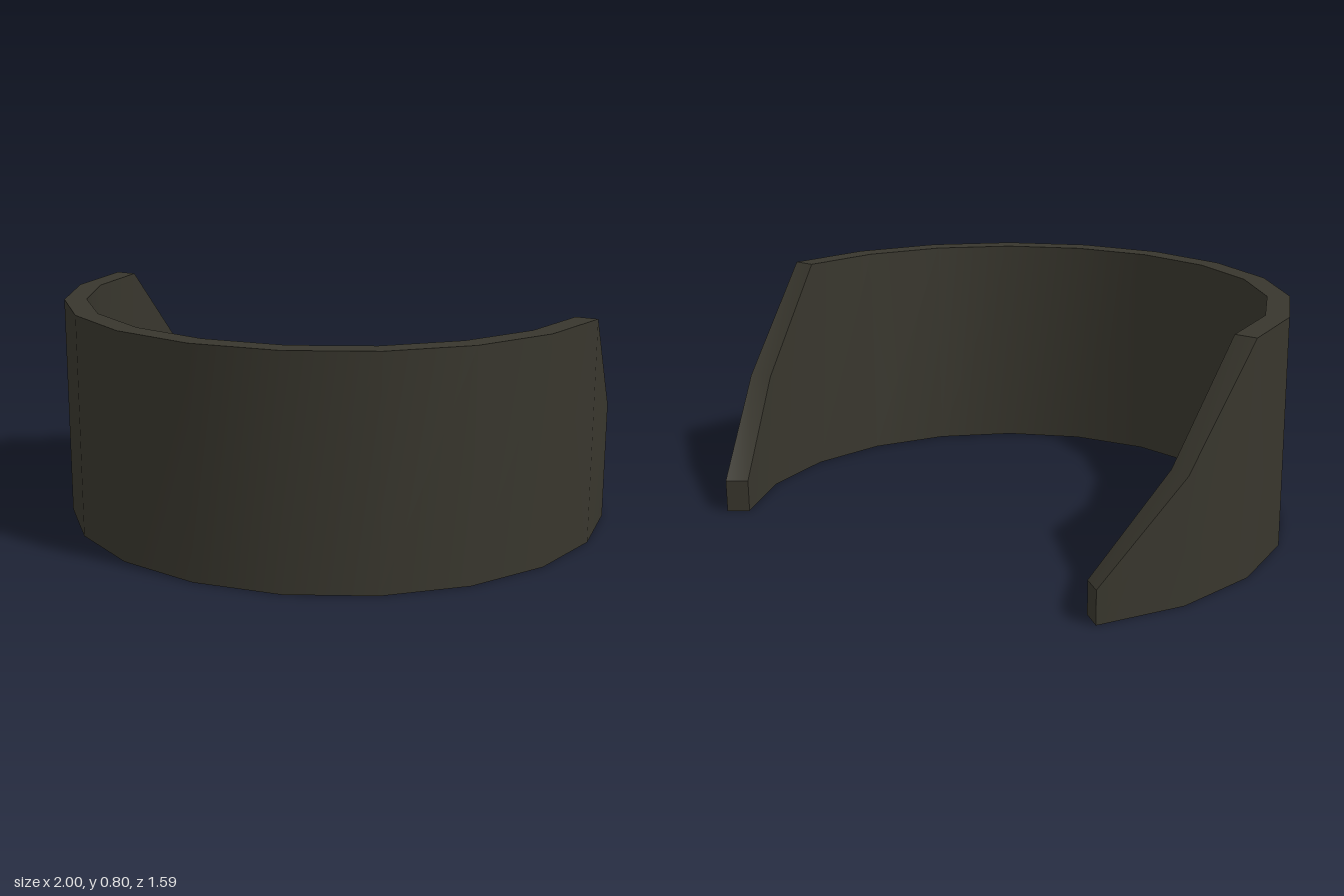
import * as THREE from 'three';
import { toCreasedNormals } from 'three/addons/utils/BufferGeometryUtils.js';

const OUTER = 1, INNER = 0.92, CENTRE_Z = -0.206;
const STEP = Math.PI / 10; // twenty-sided ring
const HALF = 7; // steps from the front to each open end

// Wall height: level around the front half, falling towards the open ends
function heightAt(step) {
  return [0.8, 0.425, 0.115][Math.max(0, Math.abs(step) - 5)];
}

// Cross-section of the wall: outer bottom, outer top, inner top, inner bottom
function section(step) {
  const s = Math.sin(step * STEP), c = Math.cos(step * STEP), h = heightAt(step);
  return [[OUTER, 0], [OUTER, h], [INNER, h], [INNER, 0]]
    .map(([r, y]) => [r * s, y, CENTRE_Z + r * c]);
}

function bandGeometry() {
  const positions = [];
  const quad = (a, b, c, d) => positions.push(...a, ...b, ...c, ...a, ...c, ...d);

  // Walls and rims between neighbouring sections
  for (let i = -HALF; i < HALF; i++) {
    const a = section(i), b = section(i + 1);
    for (let k = 0; k < 4; k++) {
      const n = (k + 1) % 4;
      quad(a[k], b[k], b[n], a[n]);
    }
  }
  // Caps on the two open ends
  quad(...section(-HALF));
  quad(...section(HALF).reverse());

  const geometry = new THREE.BufferGeometry();
  geometry.setAttribute('position', new THREE.Float32BufferAttribute(positions, 3));
  return toCreasedNormals(geometry, 0.5);
}

export function createModel() {
  const group = new THREE.Group();
  group.name = 'openCuff';
  const material = new THREE.MeshStandardMaterial({ color: 0x38362d });
  material.name = 'darkOlive';
  const band = new THREE.Mesh(bandGeometry(), material);
  band.name = 'curvedBand';
  group.add(band);
  return group;
}
